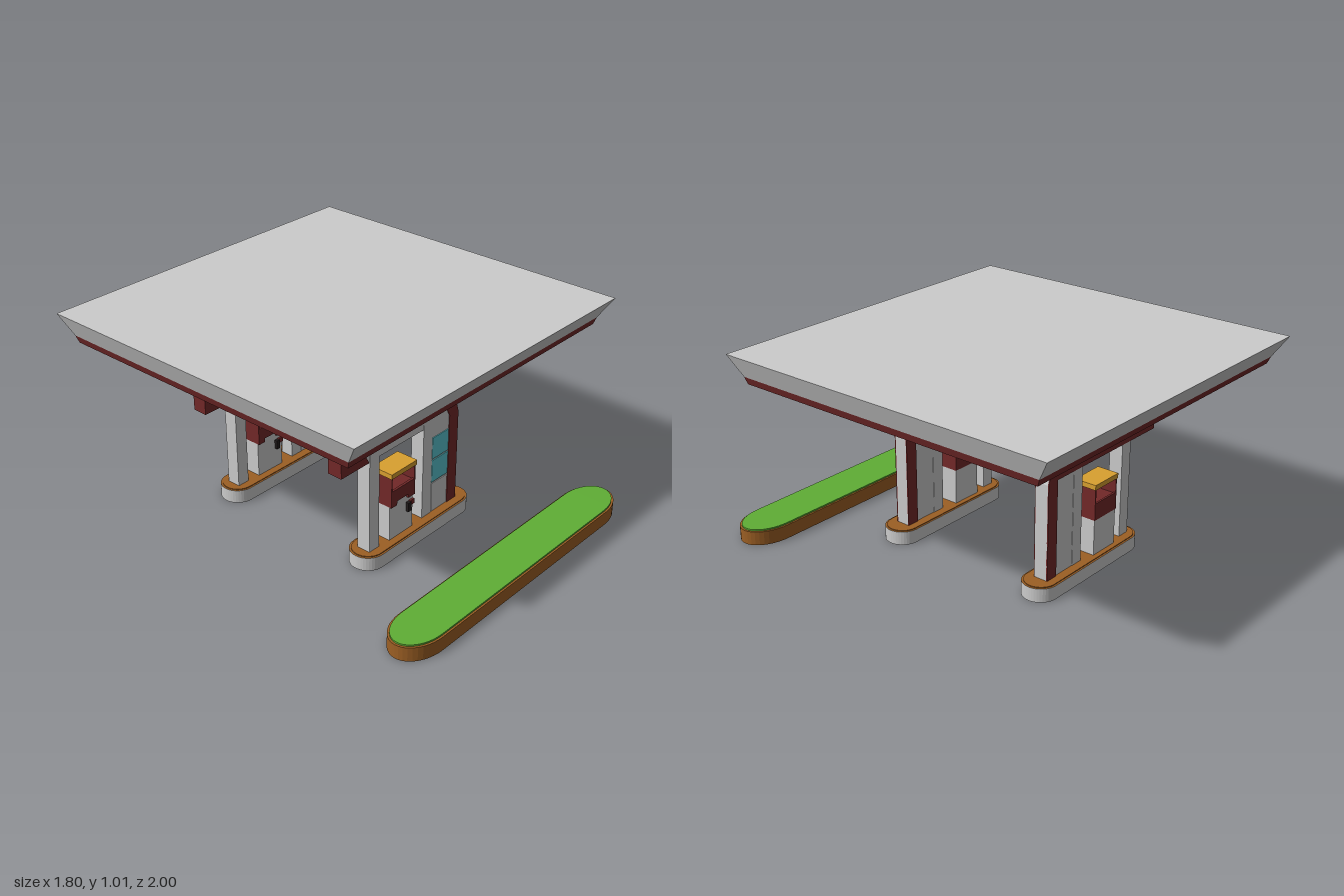
import * as THREE from 'three';

const paint = (color) => new THREE.MeshStandardMaterial({ color, flatShading: true });
const grey = paint(0xcccccc), maroon = paint(0x722828), brown = paint(0x9c5f24);
const green = paint(0x5fae35), teal = paint(0x5ac6d0), yellow = paint(0xd9a030), black = paint(0x221c1c);

function add(parent, name, geometry, material) {
  const mesh = new THREE.Mesh(geometry, material);
  mesh.name = name;
  parent.add(mesh);
  return mesh;
}

// Box given by its limits on each axis
function box(parent, name, [x0, x1], [y0, y1], [z0, z1], material) {
  const g = new THREE.BoxGeometry(x1 - x0, y1 - y0, z1 - z0);
  g.translate((x0 + x1) / 2, (y0 + y1) / 2, (z0 + z1) / 2);
  return add(parent, name, g, material);
}

// Upright outline in x and y, given thickness from z0 to z1
function slab(parent, name, points, z0, z1, material) {
  const shape = new THREE.Shape(points.map(([x, y]) => new THREE.Vector2(x, y)));
  const g = new THREE.ExtrudeGeometry(shape, { depth: z1 - z0, bevelEnabled: false });
  return add(parent, name, g.translate(0, 0, z0), material);
}

// Flat slab with elliptical ends, lying from y0 to y1
function kerb(parent, name, [x0, x1], halfWidth, endLength, [y0, y1], materials) {
  const shape = new THREE.Shape();
  shape.absellipse(x1 - endLength, 0, endLength, halfWidth, -Math.PI / 2, Math.PI / 2);
  shape.absellipse(x0 + endLength, 0, endLength, halfWidth, Math.PI / 2, Math.PI * 1.5);
  const g = new THREE.ExtrudeGeometry(shape, { depth: y1 - y0, bevelEnabled: false, curveSegments: 10 });
  return add(parent, name, g.rotateX(-Math.PI / 2).translate(0, y0, 0), materials);
}

// Roof layer that widens from its lower to its upper rectangle [x, zBack, zFront]
function flare(parent, name, y0, y1, low, high, material) {
  const g = new THREE.BoxGeometry(1, 1, 1);
  const p = g.attributes.position;
  for (let i = 0; i < p.count; i++) {
    const [x, back, front] = p.getY(i) < 0 ? low : high;
    p.setXYZ(i, Math.sign(p.getX(i)) * x, p.getY(i) < 0 ? y0 : y1, p.getZ(i) < 0 ? back : front);
  }
  g.computeVertexNormals();
  return add(parent, name, g, material);
}

function createPump() {
  const pump = new THREE.Group();
  pump.name = 'fuelPump';
  const L = -0.225, R = -0.06;
  box(pump, 'pumpBody', [L + 0.002, R - 0.002], [0.07, 0.325], [-0.052, 0.04], grey);
  // Front apron with a notch at its lower edge
  slab(pump, 'pumpFront', [
    [L, 0.25], [-0.185, 0.25], [-0.185, 0.27], [-0.105, 0.27],
    [-0.105, 0.25], [R, 0.25], [R, 0.335], [L, 0.335],
  ], 0.04, 0.052, maroon);
  box(pump, 'pumpBack', [L, R], [0.25, 0.335], [-0.055, -0.045], maroon);
  box(pump, 'pumpShelf', [L, R], [0.32, 0.33], [-0.05, 0.045], maroon);
  for (const x of [L, R - 0.006])
    box(pump, 'pumpSide', [x, x + 0.006], [0.25, 0.407], [-0.055, 0.052], maroon);
  box(pump, 'pumpCap', [-0.23, -0.055], [0.405, 0.43], [-0.058, 0.056], yellow);
  // Nozzle in its holder
  box(pump, 'nozzleHolder', [-0.09, R], [0.2, 0.225], [0.04, 0.05], maroon);
  box(pump, 'nozzleHandle', [-0.108, -0.088], [0.175, 0.222], [0.04, 0.056], black);
  return pump;
}

function createStation(z) {
  const station = new THREE.Group();
  station.name = 'pumpIsland';
  station.position.z = z;

  kerb(station, 'islandKerb', [-0.41, 0.35], 0.086, 0.086, [0, 0.068], [brown, grey]);
  kerb(station, 'islandTop', [-0.4, 0.34], 0.077, 0.077, [0.06, 0.072], brown);

  const d = 0.035;
  for (const x of [-0.355, 0.015])
    box(station, 'column', [x, x + 0.065], [0.07, 0.88], [-d, d], grey);

  // Beam that turns down into the wide leg
  slab(station, 'beam', [
    [-0.535, 0.545], [0.08, 0.545], [0.08, 0.07], [0.265, 0.07],
    [0.265, 0.54], [0.22, 0.69], [-0.535, 0.69],
  ], -d + 0.002, d - 0.002, grey);

  // Painted bands, front and back
  slab(station, 'beamEndBand', [
    [-0.54, 0.545], [-0.36, 0.545], [-0.44, 0.69], [-0.54, 0.69],
  ], -d, d + 0.002, maroon);
  slab(station, 'legBand', [
    [0.2, 0.07], [0.265, 0.07], [0.265, 0.54], [0.22, 0.69], [0.125, 0.69], [0.2, 0.545],
  ], d - 0.004, d + 0.002, maroon);
  slab(station, 'backBand', [
    [-0.54, 0.545], [0.2, 0.545], [0.2, 0.07], [0.265, 0.07],
    [0.265, 0.54], [0.22, 0.69], [-0.54, 0.69],
  ], -d - 0.003, -d + 0.004, maroon);

  // Window panes above a plain panel
  for (const [y0, y1] of [[0.238, 0.355], [0.363, 0.475]])
    box(station, 'windowPane', [0.08, 0.196], [y0, y1], [d - 0.004, d + 0.002], teal);
  box(station, 'lowerPanel', [0.083, 0.193], [0.078, 0.23], [d - 0.004, d + 0.001], grey);

  station.add(createPump());
  return station;
}

export function createModel() {
  const model = new THREE.Group();
  model.name = 'fillingStation';

  // Canopy roof
  flare(model, 'roofTrim', 0.875, 0.91, [0.85, -0.92, 0.705], [0.86, -0.935, 0.717], maroon);
  flare(model, 'roof', 0.91, 1.012, [0.86, -0.935, 0.717], [0.9, -1, 0.78], grey);

  for (const z of [0.35, -0.488]) model.add(createStation(z));

  // Planted strip along the road
  const planter = new THREE.Group();
  planter.name = 'planter';
  planter.position.z = 0.883;
  kerb(planter, 'planterKerb', [-0.77, 0.8], 0.117, 0.17, [0, 0.07], brown);
  kerb(planter, 'grass', [-0.76, 0.79], 0.108, 0.165, [0.06, 0.078], green);
  model.add(planter);

  return model;
}
